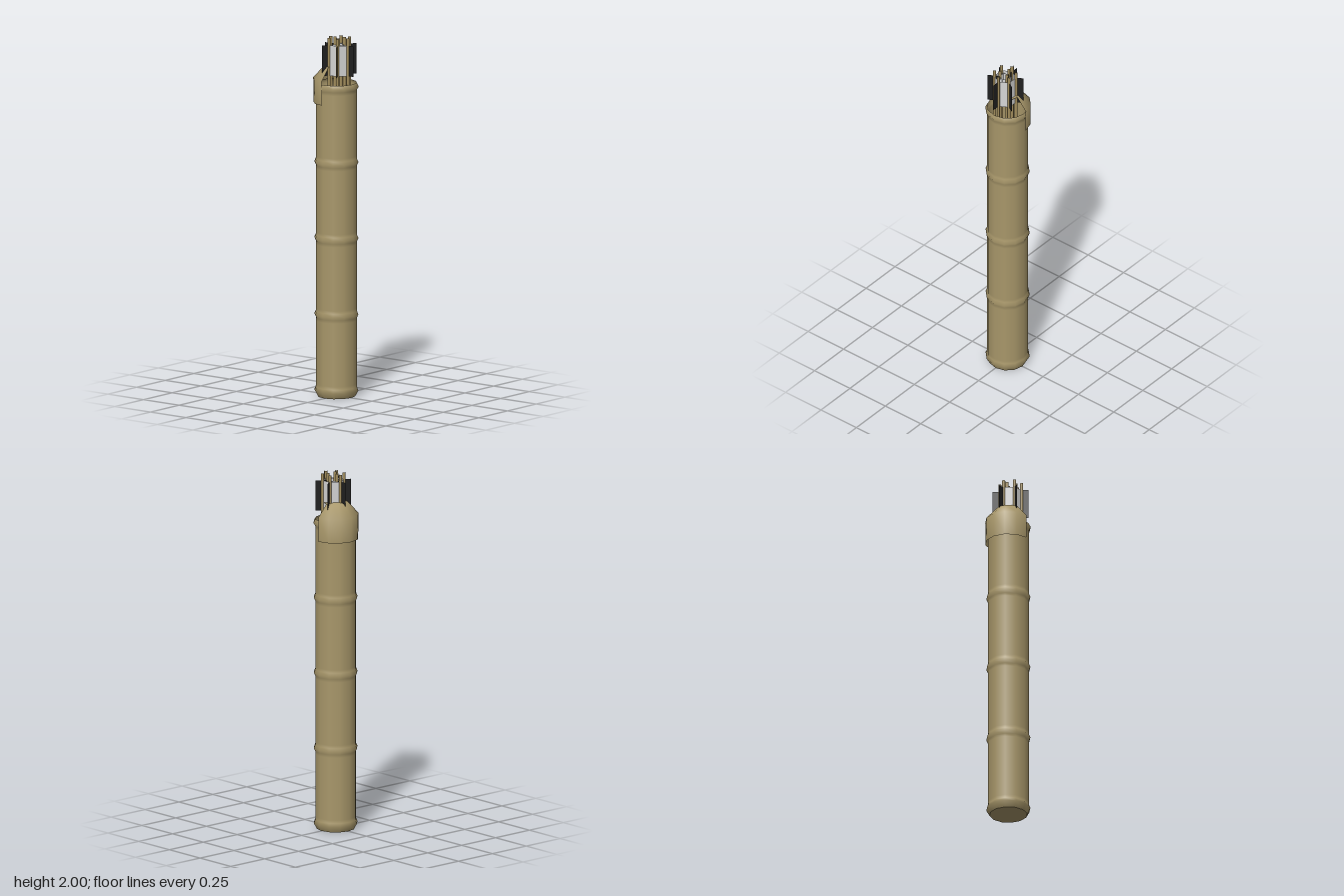
import * as THREE from 'three';

const flat = (name, color, side = THREE.DoubleSide) =>
  Object.assign(new THREE.MeshStandardMaterial({ color, side }), { name });

export function createModel() {
  const leather = flat('tan leather', 0xa8976a);
  const wood = flat('shaft wood', 0xa6915f, THREE.FrontSide);
  const black = flat('black feather', 0x202020);
  const white = flat('pale feather', 0xd6d6d6);
  const model = new THREE.Group();

  const add = (parent, name, geometry, material) => {
    const mesh = new THREE.Mesh(geometry, material);
    mesh.name = name;
    parent.add(mesh);
    return mesh;
  };
  const lathe = (points, sides, start, sweep) =>
    new THREE.LatheGeometry(points.map(([r, y]) => new THREE.Vector2(r, y)), sides, start, sweep);

  // Open twelve-sided tube with raised bands
  const profile = [[0.104, 0], [0.122, 0.033], [0.114, 0.052], [0.114, 0.07]];
  for (const y of [0.457, 0.882, 1.305]) {
    profile.push([0.114, y - 0.035], [0.114, y - 0.018], [0.122, y], [0.114, y + 0.018], [0.114, y + 0.035]);
  }
  profile.push([0.114, 1.69], [0.114, 1.708], [0.124, 1.727], [0.113, 1.747]);
  add(model, 'quiverBody', lathe(profile, 12, 0, Math.PI * 2), leather);
  add(model, 'quiverBase', new THREE.CircleGeometry(0.104, 12).rotateX(Math.PI / 2), leather);

  // Half hood at the back, with one short flap over the mouth
  const hood = [[0.126, 1.635], [0.128, 1.77], [0.068, 1.838], [0, 1.852]];
  add(model, 'hood', lathe(hood, 6, Math.PI / 2, Math.PI), leather);
  add(model, 'hoodFlap', lathe(hood.slice(2), 1, Math.PI / 3, Math.PI / 6), leather);

  // Arrow with an uncapped shaft and three thin vanes, the black one outward
  const shaft = new THREE.CylinderGeometry(0.009, 0.009, 1.9, 6, 1, true).translate(0, 1.05, 0);
  const vane = new THREE.PlaneGeometry(0.04, 0.17).translate(0.02, 1.875, 0);
  const addArrow = (radius, angle) => {
    const arrow = new THREE.Group();
    arrow.name = 'arrow';
    arrow.position.set(radius * Math.cos(angle), 0, 0.02 + radius * Math.sin(angle));
    arrow.rotation.y = -angle;
    add(arrow, 'shaft', shaft, wood);
    for (let i = 0; i < 3; i++) {
      add(arrow, 'vane', vane, i ? white : black).rotation.y = (i * Math.PI * 2) / 3;
    }
    model.add(arrow);
  };
  for (let i = 0; i < 6; i++) addArrow(0.06, Math.PI / 6 + (i * Math.PI) / 3);
  for (let i = 0; i < 3; i++) addArrow(0.03, Math.PI / 6 + (i * Math.PI * 2) / 3);

  return model;
}
